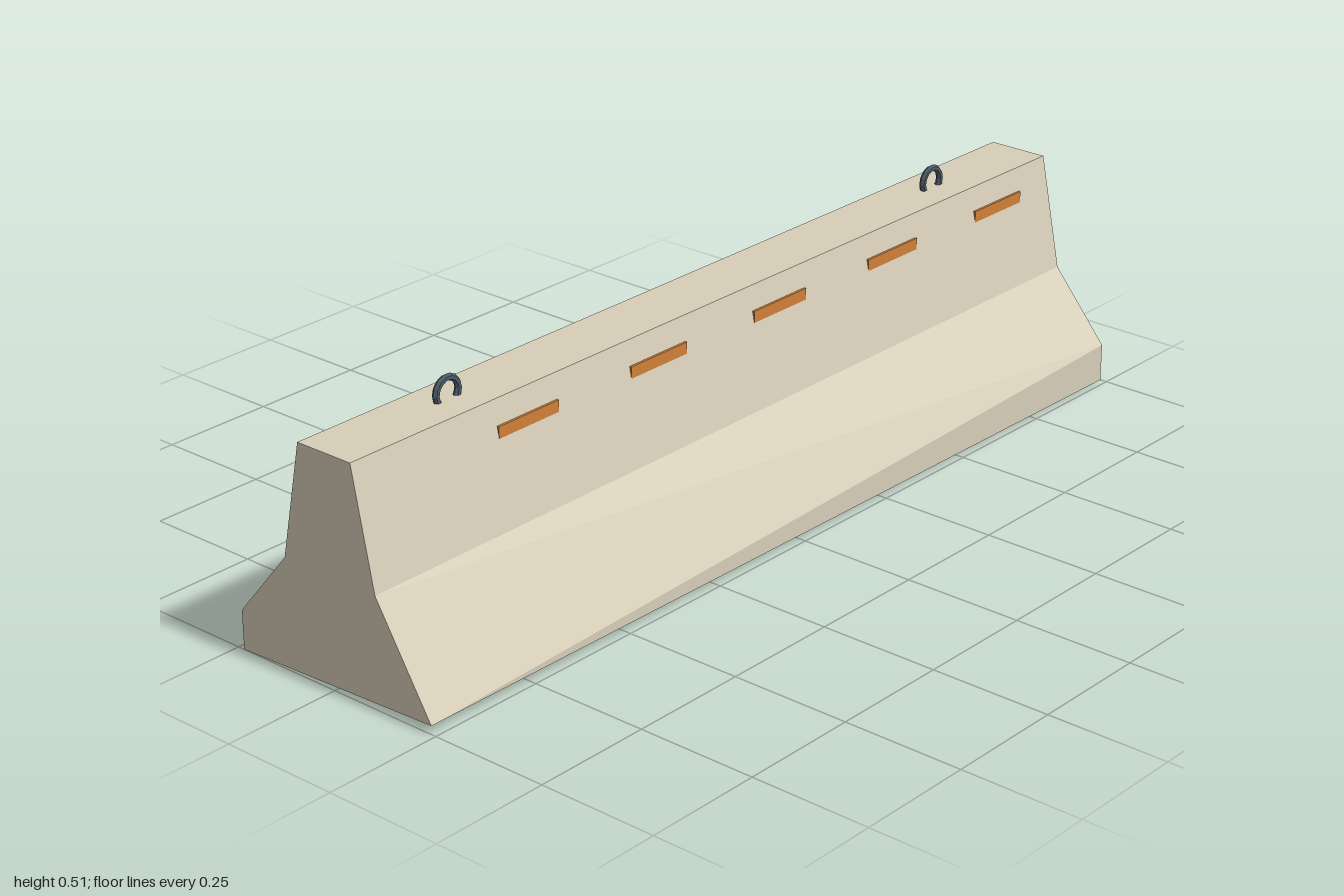
import * as THREE from 'three';

const concrete = new THREE.MeshStandardMaterial({ color: 0xd8cfb9, flatShading: true });
const orange = new THREE.MeshStandardMaterial({ color: 0xd08038, flatShading: true });
const steel = new THREE.MeshStandardMaterial({ color: 0x4a5b66, flatShading: true });

// Body: one end profile plus its half-turn twin; the toe tapers along each side.
function bodyGeometry() {
  const p = {
    baseL: [-0.235, 0, 1], baseR: [0.24, 0.017, 1],
    waistR: [0.113, 0.225, 1], topR: [0.065, 0.462, 1],
    topL: [-0.065, 0.462, 1], waistL: [-0.113, 0.225, 1], toeL: [-0.235, 0.08, 1],
  };
  const turn = ([x, y, z]) => [-x, y, -z];
  const far = Object.fromEntries(Object.entries(p).map(([k, v]) => [k, turn(v)]));
  const half = [
    // end face
    [p.baseL, p.baseR, p.waistR], [p.baseL, p.waistR, p.waistL], [p.baseL, p.waistL, p.toeL],
    [p.waistR, p.topR, p.topL], [p.waistR, p.topL, p.waistL],
    // toe, slope and upper wall of one side
    [p.baseR, far.baseL, far.toeL], [p.baseR, far.toeL, p.waistR], [p.waistR, far.toeL, far.waistL],
    [p.waistR, far.waistL, far.topL], [p.waistR, far.topL, p.topR],
    // half of the top and half of the underside
    [p.topL, p.topR, far.topL], [p.baseL, far.baseR, p.baseR],
  ];
  const all = [...half, ...half.map((t) => t.map(turn))];
  const g = new THREE.BufferGeometry();
  g.setAttribute('position', new THREE.Float32BufferAttribute(all.flat(2), 3));
  g.computeVertexNormals();
  return g;
}

export function createModel() {
  const group = new THREE.Group();
  function add(name, geometry, material, x, y, z) {
    const mesh = new THREE.Mesh(geometry, material);
    mesh.name = name;
    mesh.position.set(x, y, z);
    group.add(mesh);
  }

  add('barrierBody', bodyGeometry(), concrete, 0, 0, 0);

  // Reflector strips along both upper walls
  const strip = new THREE.BoxGeometry(0.012, 0.024, 0.155);
  for (let i = 0; i < 5; i++) {
    const z = 0.575 - i * 0.35;
    add('leftReflector', strip, orange, 0.0735, 0.402, z);
    add('rightReflector', strip, orange, -0.0735, 0.402, z);
  }

  // Lifting loops sunk into the top
  const loop = new THREE.TorusGeometry(0.028, 0.007, 6, 14).rotateY(Math.PI / 2);
  for (const z of [0.7, -0.7]) add('liftingLoop', loop, steel, 0, 0.475, z);

  return group;
}
